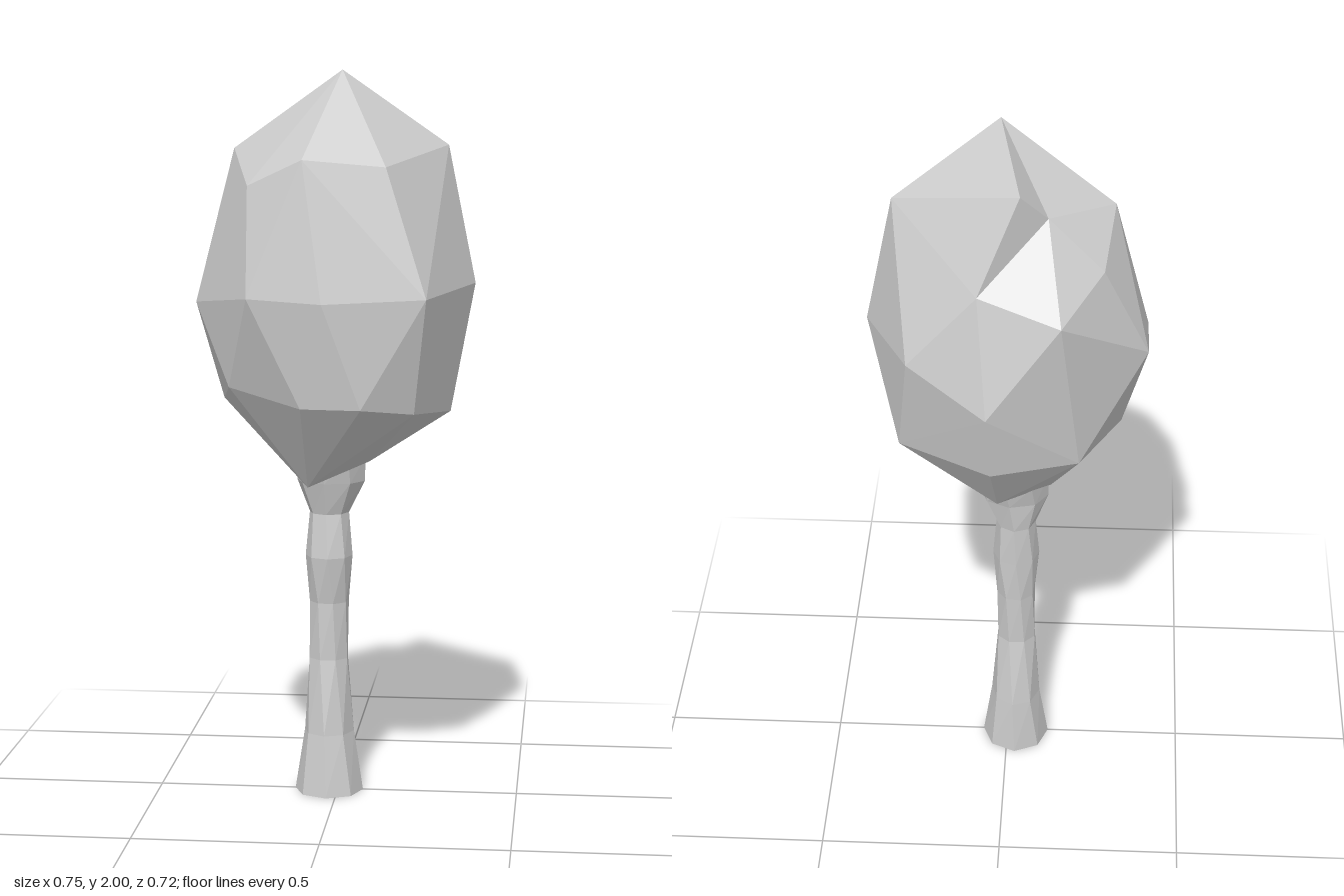
import * as THREE from 'three';
import { ConvexGeometry } from 'three/addons/geometries/ConvexGeometry.js';

const material = new THREE.MeshStandardMaterial({ color: 0xcccccc, flatShading: true });

function faceted(name, points) {
  const mesh = new THREE.Mesh(new ConvexGeometry(points.map((p) => new THREE.Vector3(...p))), material);
  mesh.name = name;
  return mesh;
}

// Trunk: an eight-sided tube whose rings follow [y, minX, maxX, minZ, maxZ, twist]
function makeTrunk() {
  const rings = [
    [0.01, -0.12, 0.07, -0.10, 0.10, 0],
    [0.17, -0.095, 0.045, -0.09, 0.075, 0.1],
    [0.38, -0.083, 0.03, -0.058, 0.05, 0.35],
    [0.54, -0.08, 0.03, -0.064, 0.05, 0.5],
    [0.67, -0.09, 0.04, -0.07, 0.07, 0.75],
    [0.79, -0.08, 0.03, -0.07, 0.05, 0.85],
    [0.88, -0.115, 0.075, -0.08, 0.075, 0.9],
    [0.95, -0.115, 0.08, -0.10, 0.09, 1.0],
  ];
  const last = rings.length - 1;
  const geometry = new THREE.CylinderGeometry(1, 1, last, 8, last);
  const pos = geometry.attributes.position;
  for (let i = 0; i < pos.count; i++) {
    const [y, x0, x1, z0, z1, twist] = rings[Math.round(pos.getY(i) + last / 2)];
    const r = Math.hypot(pos.getX(i), pos.getZ(i));
    const a = Math.atan2(pos.getZ(i), pos.getX(i)) + twist;
    pos.setXYZ(i,
      (x0 + x1) / 2 + r * Math.cos(a) * (x1 - x0) / 2,
      y - 0.01 * (y < 0.1 ? 1 : 0),
      (z0 + z1) / 2 + r * Math.sin(a) * (z1 - z0) / 2);
  }
  geometry.computeVertexNormals();
  const mesh = new THREE.Mesh(geometry, material);
  mesh.name = 'trunk';
  return mesh;
}

export function createModel() {
  const tree = new THREE.Group();
  tree.name = 'tree';
  tree.add(makeTrunk());

  const apex = [0.02, 2, 0.08];
  const leftShoulder = [0.30, 1.80, 0.005];
  const backLeft = [0.25, 1.46, -0.26];
  const notchLow = [0.065, 1.68, -0.28];
  const notchInner = [-0.11, 1.83, -0.135];

  // Upper shoulder, widest belt, lower belt and underside of the foliage
  const upper = [
    leftShoulder, notchLow, notchInner,
    [-0.15, 1.62, -0.325], [-0.255, 1.69, -0.155], [-0.28, 1.79, 0.02],
    [-0.215, 1.70, 0.25], [-0.065, 1.77, 0.305], [0.15, 1.75, 0.255],
  ];
  const belt = [
    backLeft, [0.375, 1.43, 0.015], [0.26, 1.41, 0.305], [-0.01, 1.40, 0.355],
    [-0.21, 1.41, 0.325], [-0.375, 1.38, 0.10], [-0.375, 1.42, -0.105], [0.04, 1.36, -0.36],
  ];
  const lower = [
    [0.31, 1.08, 0.02], [0.225, 1.10, 0.24], [0.09, 1.12, 0.325], [-0.07, 1.12, 0.31],
    [-0.275, 1.16, 0.19], [-0.31, 1.11, 0.03], [-0.20, 1.16, -0.25],
    [0.03, 1.16, -0.32], [0.28, 1.16, -0.18],
  ];
  const underside = [
    [-0.07, 0.88, 0.13], [0.09, 0.94, 0.04], [0.02, 0.96, -0.17], [-0.12, 0.905, 0.0],
  ];
  tree.add(faceted('foliage', [apex, ...upper, ...belt, ...lower, ...underside]));

  // Overhanging ledge at the back of the crown
  tree.add(faceted('foliageLedge', [
    apex, leftShoulder, backLeft, notchLow, notchInner, [-0.04, 1.92, -0.19],
  ]));
  return tree;
}
